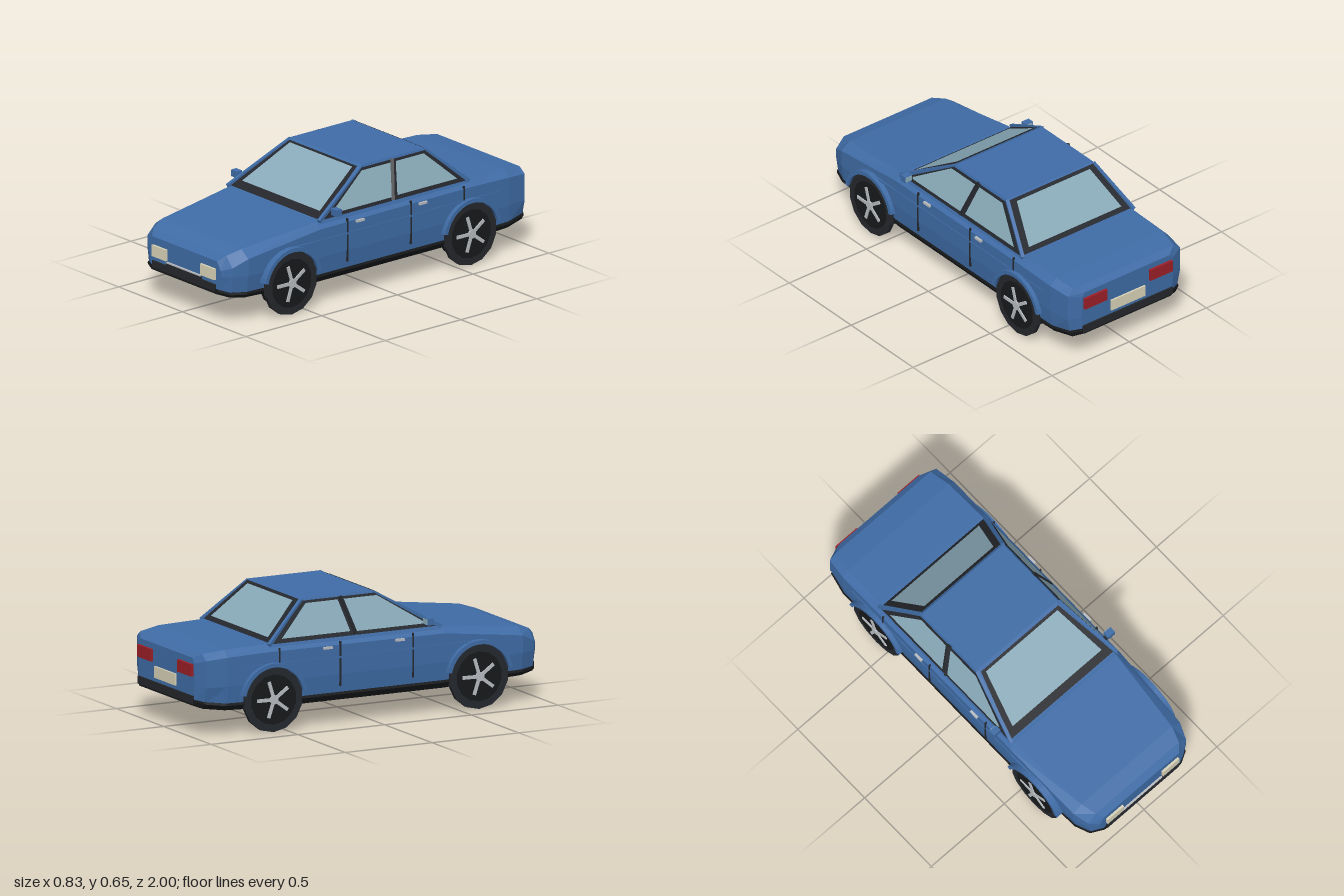
import * as THREE from 'three';

const mat = (color) => new THREE.MeshStandardMaterial({ color, flatShading: true, side: THREE.DoubleSide });
const V = (p) => new THREE.Vector3(...p);

export function createModel() {
  const car = new THREE.Group();
  car.name = 'car';
  const blue = mat(0x3f6ca6), dark = mat(0x24272c), black = mat(0x17191b), glass = mat(0x8aabba);
  const silver = mat(0xb8bcc0), cream = mat(0xd8d3b8), red = mat(0x9c1f28);

  function add(name, geometry, material, parent = car) {
    const mesh = new THREE.Mesh(geometry, material);
    mesh.name = name;
    parent.add(mesh);
    return mesh;
  }

  function box(name, material, w, h, d, x, y, z, parent = car) {
    const mesh = add(name, new THREE.BoxGeometry(w, h, d), material, parent);
    mesh.position.set(x, y, z);
    return mesh;
  }

  // Square bar running between two points
  function bar(name, material, from, to, size) {
    const a = V(from), b = V(to);
    const mesh = add(name, new THREE.BoxGeometry(size, size, a.distanceTo(b)), material);
    mesh.position.copy(a).add(b).multiplyScalar(0.5);
    mesh.lookAt(b);
    return mesh;
  }

  function meshFrom(points) {
    const g = new THREE.BufferGeometry();
    g.setAttribute('position', new THREE.Float32BufferAttribute(points.flat(), 3));
    g.computeVertexNormals();
    return g;
  }

  // Skin over mirrored half profiles, ordered front to back, bottom to top
  function loft(sections) {
    const rings = sections.map(({ z, half }) => [
      ...half.map(([x, y]) => [x, y, z]),
      ...[...half].reverse().map(([x, y]) => [-x, y, z]),
    ]);
    const out = [], n = rings[0].length, last = rings[rings.length - 1];
    for (let i = 0; i < rings.length - 1; i++) {
      for (let j = 0; j < n; j++) {
        const k = (j + 1) % n;
        const a = rings[i][j], b = rings[i][k], c = rings[i + 1][k], d = rings[i + 1][j];
        out.push(a, d, c, a, c, b);
      }
    }
    for (let j = 1; j < n - 1; j++) {
      out.push(rings[0][0], rings[0][j], rings[0][j + 1], last[0], last[j + 1], last[j]);
    }
    return meshFrom(out);
  }

  // Flat convex pane lifted outward from the cabin by a small offset
  function pane(name, material, corners, lift) {
    const p = corners.map(V);
    const normal = p[1].clone().sub(p[0]).cross(p[2].clone().sub(p[0])).normalize();
    if (normal.dot(p[0].clone().sub(new THREE.Vector3(0, 0.4, -0.12))) < 0) {
      normal.negate();
      p.reverse();
    }
    p.forEach((v) => v.addScaledVector(normal, lift));
    const out = [];
    for (let i = 1; i < p.length - 1; i++) out.push(p[0].toArray(), p[i].toArray(), p[i + 1].toArray());
    return add(name, meshFrom(out), material);
  }

  // Stations: z, underside y, low y, low width, mid width, shoulder y, top width, top y
  const stations = [
    [0.985, 0.16, 0.175, 0.26, 0.285, 0.29, 0.255, 0.335],
    [0.95, 0.15, 0.165, 0.32, 0.335, 0.31, 0.285, 0.365],
    [0.87, 0.14, 0.16, 0.35, 0.365, 0.35, 0.31, 0.39],
    [0.41, 0.125, 0.155, 0.37, 0.381, 0.41, 0.35, 0.442],
    [-0.6, 0.125, 0.155, 0.37, 0.381, 0.415, 0.35, 0.45],
    [-0.84, 0.135, 0.16, 0.37, 0.381, 0.41, 0.345, 0.445],
    [-0.955, 0.15, 0.175, 0.345, 0.365, 0.4, 0.325, 0.43],
    [-0.985, 0.16, 0.18, 0.285, 0.295, 0.38, 0.275, 0.405],
  ];
  add('body', loft(stations.map(([z, , yl, wl, wm, ys, wt, yt]) => (
    { z, half: [[wl, yl], [wm, 0.26], [wm, ys], [wt, yt]] }))), blue);
  add('underbody', loft(stations.map(([z, yb, yl, wl]) => (
    { z: z * 1.004, half: [[wl * 0.97, yb], [wl + 0.008, yl], [wl + 0.004, yl + 0.012]] }))), black);

  // Cabin shell
  const base = 0.43, roof = 0.65;
  const corner = (x, y, z) => [x, y, z];
  const fl = corner(0.365, base, 0.41), bl = corner(0.365, base, -0.6);
  const tf = corner(0.28, roof, 0.05), tb = corner(0.28, roof, -0.36);
  const flip = ([x, y, z]) => [-x, y, z];
  const shell = [[fl, bl, tb, tf], [flip(fl), flip(tf), flip(tb), flip(bl)],
    [fl, tf, flip(tf), flip(fl)], [bl, flip(bl), flip(tb), tb], [tf, tb, flip(tb), flip(tf)]];
  add('cabin', meshFrom(shell.flatMap(([a, b, c, d]) => [a, b, c, a, c, d])), blue);

  // Front and rear screens, placed by height on the sloping shell
  function screen(name, zBase, zTop, outer, inner) {
    const at = (x, y) => [x, y, zBase + (zTop - zBase) * (y - base) / (roof - base)];
    const quad = ([xb, yb, xt, yt]) => [at(xb, yb), at(xt, yt), at(-xt, yt), at(-xb, yb)];
    pane(name + 'Frame', dark, quad(outer), 0.004);
    pane(name + 'Glass', glass, quad(inner), 0.008);
  }
  screen('windscreen', 0.41, 0.05, [0.35, 0.445, 0.265, 0.64], [0.305, 0.47, 0.245, 0.632]);
  screen('rearScreen', -0.6, -0.36, [0.345, 0.45, 0.27, 0.643], [0.3, 0.468, 0.237, 0.63]);

  for (const s of [1, -1]) {
    const side = s > 0 ? 'left' : 'right';
    const onSide = ([z, y]) => [s * (0.365 - 0.085 * (y - base) / (roof - base)), y, z];

    // Side windows with dark surrounds
    const windows = {
      FrontWindow: [[[0.37, 0.448], [0.06, 0.638], [-0.137, 0.638], [-0.082, 0.448]],
        [[0.32, 0.465], [0.065, 0.625], [-0.125, 0.625], [-0.082, 0.465]]],
      RearWindow: [[[-0.1, 0.448], [-0.152, 0.638], [-0.358, 0.638], [-0.575, 0.448]],
        [[-0.12, 0.468], [-0.16, 0.625], [-0.345, 0.625], [-0.515, 0.468]]],
    };
    for (const [name, [outer, inner]] of Object.entries(windows)) {
      pane(side + name + 'Frame', dark, outer.map(onSide), 0.004);
      pane(side + name + 'Glass', glass, inner.map(onSide), 0.008);
    }

    // Pillars and roof rail
    const edge = (p) => [s * p[0], p[1], p[2]];
    bar(side + 'FrontPillar', blue, edge([0.36, 0.445, 0.4]), edge([0.278, 0.643, 0.05]), 0.018);
    bar(side + 'RearPillar', blue, edge([0.36, 0.445, -0.59]), edge([0.278, 0.643, -0.36]), 0.018);
    bar(side + 'CentrePillar', dark, onSide([-0.09, 0.45]), onSide([-0.145, 0.64]), 0.02);

    // Door seams, trim, handles and mirror
    for (const [z, y0, y1] of [[0.23, 0.2, 0.43], [-0.19, 0.2, 0.43], [-0.54, 0.35, 0.43]]) {
      box(side + 'DoorSeam', dark, 0.01, y1 - y0, 0.008, s * 0.379, (y0 + y1) / 2, z);
    }
    box(side + 'SideTrim', blue, 0.012, 0.01, 1.42, s * 0.379, 0.35, -0.06);
    for (const z of [0.15, -0.265]) box(side + 'DoorHandle', silver, 0.016, 0.012, 0.05, s * 0.386, 0.404, z);
    box(side + 'Mirror', blue, 0.046, 0.035, 0.035, s * 0.392, 0.485, 0.312);
    box(side + 'MirrorArm', dark, 0.04, 0.015, 0.02, s * 0.365, 0.468, 0.312);
    box(side + 'MirrorGlass', glass, 0.038, 0.027, 0.004, s * 0.392, 0.485, 0.293);

    // Lamps
    box(side + 'Headlight', cream, 0.11, 0.06, 0.03, s * 0.19, 0.264, 0.982);
    box(side + 'TailLight', red, 0.145, 0.063, 0.03, s * 0.212, 0.342, -0.984);

    // Wheels and arches, modelled facing +z and then turned outward
    for (const [end, z] of [['Front', 0.605], ['Rear', -0.58]]) {
      const wheel = new THREE.Group();
      wheel.name = side + end + 'Wheel';
      wheel.position.set(0, 0.17, z);
      wheel.rotation.y = s * Math.PI / 2;
      car.add(wheel);
      const disc = (name, r, x0, x1, material) => {
        const g = new THREE.CylinderGeometry(r, r, x1 - x0, 14).rotateX(Math.PI / 2);
        add(name, g, material, wheel).position.z = (x0 + x1) / 2;
      };
      disc('innerTyre', 0.14, 0.3, 0.372, black);
      disc('tyre', 0.169, 0.368, 0.39, dark);
      disc('rim', 0.13, 0.385, 0.392, black);
      disc('hub', 0.024, 0.388, 0.401, silver);
      for (let i = 0; i < 5; i++) {
        const a = Math.PI / 2 + i * Math.PI * 0.4 + 0.3;
        const spoke = box('spoke', silver, 0.08, 0.018, 0.008, Math.cos(a) * 0.058, Math.sin(a) * 0.058, 0.394, wheel);
        spoke.rotation.z = a;
      }
      const arch = new THREE.Shape();
      arch.absarc(0, 0, 0.189, 0.2, Math.PI - 0.2, false);
      arch.absarc(0, 0, 0.168, Math.PI - 0.2, 0.2, true);
      add('wheelArch', new THREE.ExtrudeGeometry(arch, { depth: 0.045, bevelEnabled: false, curveSegments: 10 }),
        blue, wheel).position.z = 0.36;
    }
  }

  // Nose and tail fittings
  box('frontBumper', dark, 0.49, 0.036, 0.03, 0, 0.192, 0.98);
  box('grille', dark, 0.275, 0.014, 0.025, 0, 0.216, 0.98);
  box('grilleTrim', silver, 0.265, 0.007, 0.03, 0, 0.227, 0.98);
  box('rearBumper', dark, 0.58, 0.04, 0.03, 0, 0.19, -0.977);
  box('rearPlate', cream, 0.22, 0.06, 0.026, 0, 0.262, -0.982);
  return car;
}
